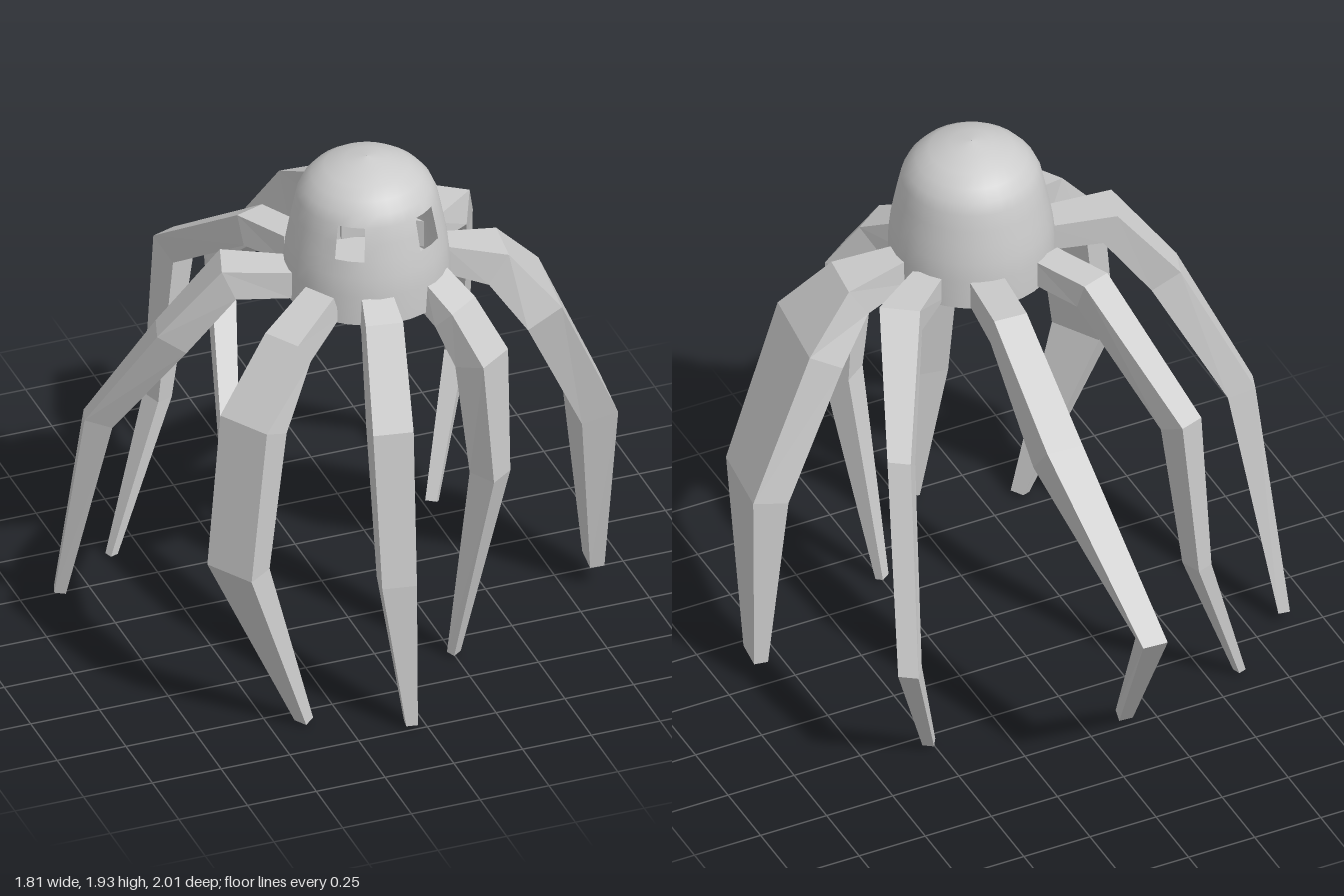
import * as THREE from 'three';

const headX = 0.01, headZ = 0.4;

// Builds an indexed geometry from a flat position list
function build(positions, index) {
  const geo = new THREE.BufferGeometry();
  geo.setAttribute('position', new THREE.Float32BufferAttribute(positions, 3));
  geo.setIndex(index);
  geo.computeVertexNormals();
  return geo;
}

// Domed head: revolved profile with two cells per eye left open
function headGeometry() {
  const profile = [
    [0.284, 1.44], [0.284, 1.55], [0.276, 1.62], [0.265, 1.68], [0.253, 1.74], [0.24, 1.8],
    [0.222, 1.84], [0.19, 1.877], [0.145, 1.908], [0.075, 1.932], [0.001, 1.942],
  ];
  const n = 32, pos = [], index = [];
  for (const [r, y] of profile) {
    for (let i = 0; i < n; i++) {
      const a = (i / n) * Math.PI * 2; // angle 0 faces the front
      pos.push(r * Math.sin(a), y, r * Math.cos(a));
    }
  }
  for (let k = 0; k < profile.length - 1; k++) {
    for (let i = 0; i < n; i++) {
      const eyeColumn = [2, 3, n - 3, n - 4].includes(i);
      if (eyeColumn && (k === 3 || k === 4)) continue;
      const j = (i + 1) % n;
      const a = k * n + i, b = k * n + j, c = (k + 1) * n + j, d = (k + 1) * n + i;
      index.push(a, b, c, a, c, d);
    }
  }
  return build(pos, index);
}

// Four-sided limb through stations [x, y, z, width, thickness]
function legGeometry(stations) {
  const pts = stations.map(([x, y, z]) => new THREE.Vector3(x, y, z));
  const out = pts[2].clone().sub(pts[0]).setY(0).normalize();
  const side = new THREE.Vector3(out.z, 0, -out.x);
  const pos = [], index = [];
  const last = pts.length - 1;
  const dir = (i) => pts[i + 1].clone().sub(pts[i]).normalize();
  stations.forEach(([, , , w, t], i) => {
    const tangent = dir(Math.min(i, last - 1)).add(dir(Math.max(i - 1, 0)));
    const normal = tangent.cross(side).normalize();
    for (const [u, v] of [[1, 1], [-1, 1], [-1, -1], [1, -1]]) {
      const p = pts[i].clone().addScaledVector(side, (u * w) / 2).addScaledVector(normal, (v * t) / 2);
      pos.push(p.x, Math.max(p.y, 0), p.z);
    }
  });
  for (let i = 0; i < last; i++) {
    for (let j = 0; j < 4; j++) {
      const k = (j + 1) % 4;
      const a = i * 4 + j, b = i * 4 + k, c = b + 4, d = a + 4;
      index.push(a, b, c, a, c, d);
    }
  }
  const e = last * 4;
  index.push(0, 2, 1, 0, 3, 2, e, e + 1, e + 2, e, e + 2, e + 3);
  return build(pos, index).toNonIndexed();
}

const legs = {
  leftLeg: [[0.27, 1.5, 0.4, 0.1, 0.1], [0.46, 1.45, 0.42, 0.18, 0.13], [0.6, 1.28, 0.44, 0.33, 0.14],
    [0.83, 0.78, 0.38, 0.28, 0.13], [0.865, 0.09, 0.32, 0.11, 0.05]],
  backLeftLeg: [[0.24, 1.5, 0.26, 0.11, 0.1], [0.41, 1.5, 0.13, 0.14, 0.12], [0.58, 1.18, -0.22, 0.08, 0.12],
    [0.68, 0.51, -0.49, 0.07, 0.07], [0.52, 0.03, -0.31, 0.04, 0.03]],
  backLeg: [[0.08, 1.5, 0.14, 0.12, 0.1], [0.11, 1.51, -0.09, 0.12, 0.12], [0.12, 1.24, -0.49, 0.13, 0.19],
    [0, 0.74, -0.965, 0.09, 0.07], [-0.15, 0.02, -0.45, 0.05, 0.04]],
  backRightLeg: [[-0.16, 1.5, 0.18, 0.11, 0.1], [-0.25, 1.49, 0, 0.11, 0.11], [-0.37, 1.18, -0.44, 0.09, 0.12],
    [-0.42, 0.58, -0.46, 0.06, 0.08], [-0.61, 0.02, -0.4, 0.03, 0.03]],
  rightLeg: [[-0.25, 1.5, 0.37, 0.12, 0.1], [-0.46, 1.52, 0.31, 0.15, 0.12], [-0.64, 1.27, 0.24, 0.11, 0.12],
    [-0.825, 0.86, 0.03, 0.07, 0.1], [-0.875, 0.05, -0.2, 0.04, 0.04]],
  frontRightLeg: [[-0.21, 1.5, 0.56, 0.12, 0.1], [-0.38, 1.42, 0.67, 0.14, 0.12], [-0.54, 1.2, 0.76, 0.2, 0.12],
    [-0.61, 0.67, 0.8, 0.19, 0.1], [-0.38, 0.02, 0.82, 0.05, 0.04]],
  frontLeg: [[-0.05, 1.5, 0.65, 0.11, 0.1], [-0.06, 1.46, 0.73, 0.13, 0.11], [-0.09, 1.15, 0.88, 0.14, 0.13],
    [-0.09, 0.58, 0.945, 0.12, 0.1], [-0.05, 0.02, 0.975, 0.04, 0.04]],
  frontLeftLeg: [[0.17, 1.5, 0.59, 0.13, 0.1], [0.22, 1.44, 0.69, 0.14, 0.1], [0.29, 1.28, 0.76, 0.15, 0.12],
    [0.32, 0.82, 0.76, 0.1, 0.1], [0.25, 0.02, 0.6, 0.04, 0.03]],
};

export function createModel() {
  const group = new THREE.Group();
  group.name = 'octopus';
  const smooth = new THREE.MeshStandardMaterial({ color: 0xcccccc, side: THREE.DoubleSide });
  const flat = new THREE.MeshStandardMaterial({ color: 0xcccccc, flatShading: true });

  const head = new THREE.Mesh(headGeometry(), smooth);
  head.name = 'head';
  head.position.set(headX, 0, headZ);
  group.add(head);

  // Flat underside closing the head
  const underside = new THREE.Mesh(new THREE.CircleGeometry(0.284, 32), smooth);
  underside.name = 'underside';
  underside.rotation.x = Math.PI / 2;
  underside.position.set(headX, 1.44, headZ);
  group.add(underside);

  for (const [name, stations] of Object.entries(legs)) {
    const geo = legGeometry(stations);
    geo.computeVertexNormals();
    const leg = new THREE.Mesh(geo, flat);
    leg.name = name;
    group.add(leg);
  }
  return group;
}
